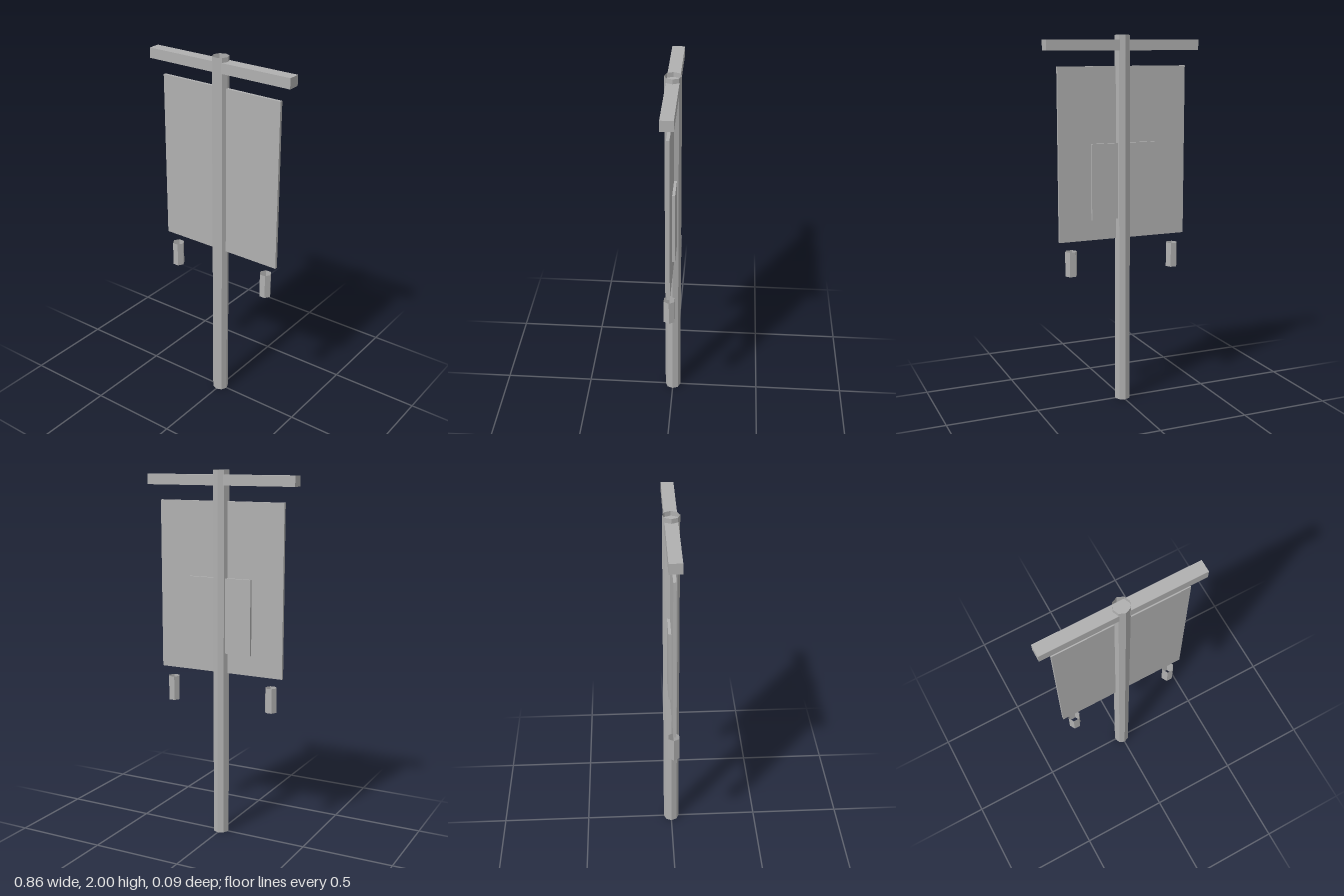
import * as THREE from 'three';

export function createModel() {
  const model = new THREE.Group();
  model.name = 'hangingBannerPost';

  const grey = new THREE.MeshStandardMaterial({ color: 0xb0b0b0 });
  grey.name = 'grey';
  grey.flatShading = true;
  grey.side = THREE.DoubleSide; // the tubes are open at both ends

  function add(name, geometry, x, y, z) {
    const mesh = new THREE.Mesh(geometry, grey);
    mesh.name = name;
    mesh.position.set(x, y, z);
    model.add(mesh);
    return mesh;
  }

  // Open octagonal post with a crossbar through its top
  add('post', new THREE.CylinderGeometry(0.044, 0.044, 2, 8, 1, true), 0, 1, 0);
  add('crossbar', new THREE.BoxGeometry(0.862, 0.055, 0.066), 0, 1.948, 0);

  // Banner panel with a smaller plate on its back
  add('banner', new THREE.BoxGeometry(0.728, 0.92, 0.016), 0, 1.38, 0);
  add('backPlate', new THREE.BoxGeometry(0.367, 0.407, 0.015), 0, 1.234, -0.0155);

  // Open hexagonal weights below the banner, corners pointing sideways
  for (const side of [-1, 1]) {
    const weight = new THREE.CylinderGeometry(0.033, 0.033, 0.135, 6, 1, true, Math.PI / 2);
    add(side > 0 ? 'leftWeight' : 'rightWeight', weight, side * 0.298, 0.8, 0);
  }

  return model;
}
